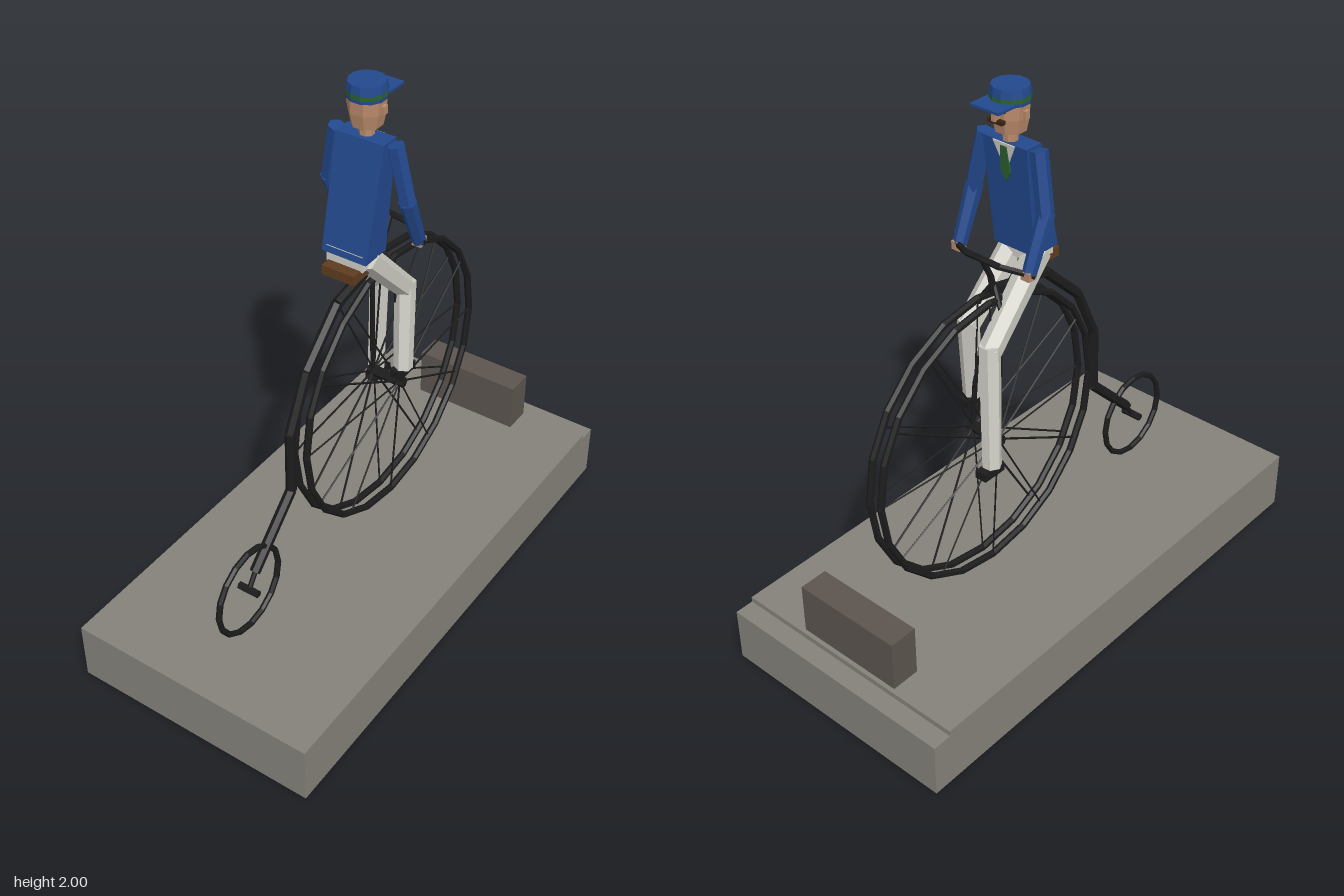
import * as THREE from 'three';

const mat = (name, color, side = THREE.FrontSide) => {
  const m = new THREE.MeshStandardMaterial({ color, flatShading: true, side });
  m.name = name;
  return m;
};
const V = (x, y, z) => new THREE.Vector3(x, y, z);

export function createModel() {
  const stone = mat('stone', 0x85827a, THREE.DoubleSide);
  const darkStone = mat('dark stone', 0x5c554f);
  const iron = mat('black iron', 0x1c1c1c);
  const blue = mat('blue cloth', 0x22488c);
  const cream = mat('pale cloth', 0xcfcec6);
  const skin = mat('skin', 0xb98a6a);
  const leather = mat('brown leather', 0x5f3c1f);
  const green = mat('green ribbon', 0x2c6130);
  const hair = mat('dark hair', 0x38230f);

  const model = new THREE.Group();
  model.name = 'highWheelRider';
  const group = (name) => {
    const g = new THREE.Group();
    g.name = name;
    model.add(g);
    return g;
  };
  const add = (parent, name, geo, material) => {
    const m = new THREE.Mesh(geo, material);
    m.name = name;
    parent.add(m);
    return m;
  };
  const box = (parent, name, material, w, h, d, x, y, z) => {
    const m = add(parent, name, new THREE.BoxGeometry(w, h, d), material);
    m.position.set(x, y, z);
    return m;
  };
  // straight rod between two points
  const rod = (parent, name, material, a, b, r1, r2 = r1, sides = 6) => {
    const d = b.clone().sub(a);
    const m = add(parent, name, new THREE.CylinderGeometry(r2, r1, d.length(), sides), material);
    m.position.copy(a).addScaledVector(d, 0.5);
    m.quaternion.setFromUnitVectors(V(0, 1, 0), d.normalize());
    return m;
  };
  const chain = (parent, name, material, pts, r, sides = 6) => {
    for (let i = 1; i < pts.length; i++) rod(parent, name, material, pts[i - 1], pts[i], r, r, sides);
  };
  const ring = (parent, name, radius, tube, sides, x, y, z) => {
    const m = add(parent, name, new THREE.TorusGeometry(radius, tube, 6, sides), iron);
    m.rotation.y = Math.PI / 2;
    m.position.set(x, y, z);
  };

  // Plinth: stepped shell, open underneath
  const profile = new THREE.Shape([[0.97, 0], [0.97, 0.225], [-0.9, 0.225], [-0.9, 0.205], [-0.97, 0.205], [-0.97, 0]]
    .map(([z, y]) => new THREE.Vector2(-z, y)));
  const solid = new THREE.ExtrudeGeometry(profile, { depth: 0.94, bevelEnabled: false });
  const p = solid.attributes.position;
  const kept = [];
  for (let i = 0; i < p.count; i += 3) {
    if (Math.max(p.getY(i), p.getY(i + 1), p.getY(i + 2)) < 0.001) continue;
    for (let j = i; j < i + 3; j++) kept.push(p.getX(j), p.getY(j), p.getZ(j));
  }
  const shell = new THREE.BufferGeometry();
  shell.setAttribute('position', new THREE.Float32BufferAttribute(kept, 3));
  shell.translate(0, 0, -0.47);
  shell.rotateY(Math.PI / 2);
  shell.computeVertexNormals();
  const base = group('base');
  add(base, 'plinth', shell, stone);
  box(base, 'nameBlock', darkStone, 0.42, 0.19, 0.105, 0, 0.32, -0.832);

  // Large front wheel: twin rims with spokes flaring to a wide hub
  const HY = 0.77, HZ = -0.2;
  const wheel = group('largeWheel');
  for (const s of [-1, 1]) {
    ring(wheel, 'rim', 0.523, 0.013, 20, s * 0.025, HY, HZ);
    for (let i = 0; i < 12; i++) {
      const a = (i * Math.PI) / 6;
      rod(wheel, 'spoke', iron, V(s * 0.055, HY, HZ),
        V(s * 0.025, HY + Math.sin(a) * 0.52, HZ + Math.cos(a) * 0.52), 0.004, 0.004, 4);
    }
  }
  rod(wheel, 'axle', iron, V(-0.075, HY, HZ), V(0.075, HY, HZ), 0.02);

  // Small trailing wheel
  const small = group('smallWheel');
  ring(small, 'rim', 0.163, 0.011, 16, 0, 0.395, 0.63);
  rod(small, 'axle', iron, V(-0.04, 0.395, 0.63), V(0.04, 0.395, 0.63), 0.014);

  // Frame, fork and handlebar
  const frame = group('frame');
  chain(frame, 'backbone', iron, [V(0, 0.45, 0.595), V(0, 0.66, 0.38), V(0, 0.9, 0.375),
    V(0, 1.1, 0.28), V(0, 1.265, 0.105), V(0, 1.315, -0.14)], 0.019);
  rod(frame, 'rearFork', iron, V(0, 0.395, 0.63), V(0, 0.455, 0.59), 0.009);
  chain(frame, 'steeringStem', iron, [V(0, 1.3, -0.15), V(0, 1.37, -0.165), V(0, 1.45, -0.205)], 0.012);
  for (const s of [-1, 1]) {
    chain(frame, 'frontFork', iron, [V(0, 1.34, -0.15), V(s * 0.045, 1.27, -0.17), V(s * 0.06, HY, HZ)], 0.009);
    chain(frame, 'handlebar', iron, [V(0, 1.45, -0.205), V(s * 0.07, 1.445, -0.2), V(s * 0.17, 1.425, -0.145)], 0.011);
  }
  box(frame, 'saddle', leather, 0.125, 0.035, 0.12, 0, 1.372, 0.04);

  // Legs, cranks and pedals: left foot up, right foot down
  const legs = [
    { s: 1, hip: V(0.05, 1.41, 0.01), knee: V(0.065, 1.18, -0.205), ankle: V(0.09, 0.87, -0.165), pedal: V(0.085, 0.86, -0.17) },
    { s: -1, hip: V(-0.05, 1.41, 0.01), knee: V(-0.065, 1.15, -0.245), ankle: V(-0.095, 0.72, -0.275), pedal: V(-0.09, 0.702, -0.28) },
  ];
  for (const { s, hip, knee, ankle, pedal } of legs) {
    const leg = group(s > 0 ? 'leftLeg' : 'rightLeg');
    rod(leg, 'thigh', cream, hip, knee, 0.045, 0.04);
    rod(leg, 'shin', cream, V(knee.x, knee.y + 0.025, knee.z), ankle, 0.038, 0.034);
    box(leg, 'shoe', iron, 0.045, 0.03, 0.095, pedal.x, pedal.y, pedal.z);
    rod(leg, 'crank', iron, V(s * 0.065, HY, HZ), V(s * 0.065, pedal.y - 0.01, pedal.z), 0.01);
  }
  box(group('hips'), 'seatOfTrousers', cream, 0.14, 0.06, 0.1, 0, 1.415, 0.01);

  // Torso: box leaned forward and narrowed in depth at the shoulders
  const body = group('torso');
  const coat = new THREE.BoxGeometry(0.18, 0.395, 1);
  const c = coat.attributes.position;
  for (let i = 0; i < c.count; i++) {
    const top = c.getY(i) > 0, back = c.getZ(i) > 0;
    c.setZ(i, top ? (back ? -0.025 : -0.095) : (back ? 0.065 : -0.05));
    if (!top) c.setX(i, c.getX(i) * 0.95);
  }
  add(body, 'jacket', coat, blue).position.y = 1.6175;

  // Shirt front and tie: thin plates on the chest
  const plate = (name, material, pts, lift) => {
    const shape = new THREE.Shape(pts.map(([x, y]) => new THREE.Vector2(x, y)));
    const geo = new THREE.ExtrudeGeometry(shape, { depth: 0.006, bevelEnabled: false });
    const m = add(body, name, geo, material);
    m.position.set(0, 1.813, -0.095 - lift);
    m.rotation.x = -0.113;
  };
  plate('shirtFront', cream, [[-0.045, 0], [0, -0.1], [0.045, 0]], 0.004);
  plate('tie', green, [[-0.012, -0.01], [-0.02, -0.1], [0, -0.135], [0.02, -0.1], [0.012, -0.01]], 0.008);

  // Arms
  for (const s of [-1, 1]) {
    const arm = group(s > 0 ? 'leftArm' : 'rightArm');
    const elbow = V(s * 0.15, 1.6, -0.075);
    rod(arm, 'upperArm', blue, V(s * 0.11, 1.81, -0.06), elbow, 0.03, 0.03);
    rod(arm, 'forearm', blue, V(elbow.x, 1.615, -0.07), V(s * 0.148, 1.425, -0.15), 0.03, 0.024);
    box(arm, 'hand', skin, 0.035, 0.03, 0.035, s * 0.148, 1.425, -0.152);
  }

  // Head and face
  const head = group('head');
  const HZ2 = -0.065;
  const drum = (name, material, rTop, rBottom, y0, y1, sides = 8) => {
    const m = add(head, name, new THREE.CylinderGeometry(rTop, rBottom, y1 - y0, sides), material);
    m.position.set(0, (y0 + y1) / 2, HZ2);
    m.rotation.y = Math.PI / sides;
  };
  drum('neck', skin, 0.026, 0.026, 1.8, 1.86);
  drum('jaw', skin, 0.062, 0.052, 1.85, 1.9);
  drum('skull', skin, 0.064, 0.062, 1.9, 1.955);
  box(head, 'nose', skin, 0.016, 0.03, 0.022, 0, 1.915, -0.133);
  box(head, 'moustache', hair, 0.06, 0.013, 0.018, 0, 1.898, -0.13);
  for (const s of [-1, 1]) {
    box(head, 'ear', skin, 0.012, 0.028, 0.02, s * 0.064, 1.915, HZ2);
    box(head, 'eye', hair, 0.014, 0.01, 0.006, s * 0.022, 1.932, -0.124);
  }

  // Cap with ribbon and peak
  drum('capBand', blue, 0.066, 0.066, 1.945, 1.956, 12);
  drum('capRibbon', green, 0.067, 0.067, 1.956, 1.972, 12);
  drum('capCrown', blue, 0.062, 0.067, 1.972, 2.0, 12);
  box(head, 'capPeak', blue, 0.115, 0.009, 0.085, 0, 1.954, -0.142);

  return model;
}
